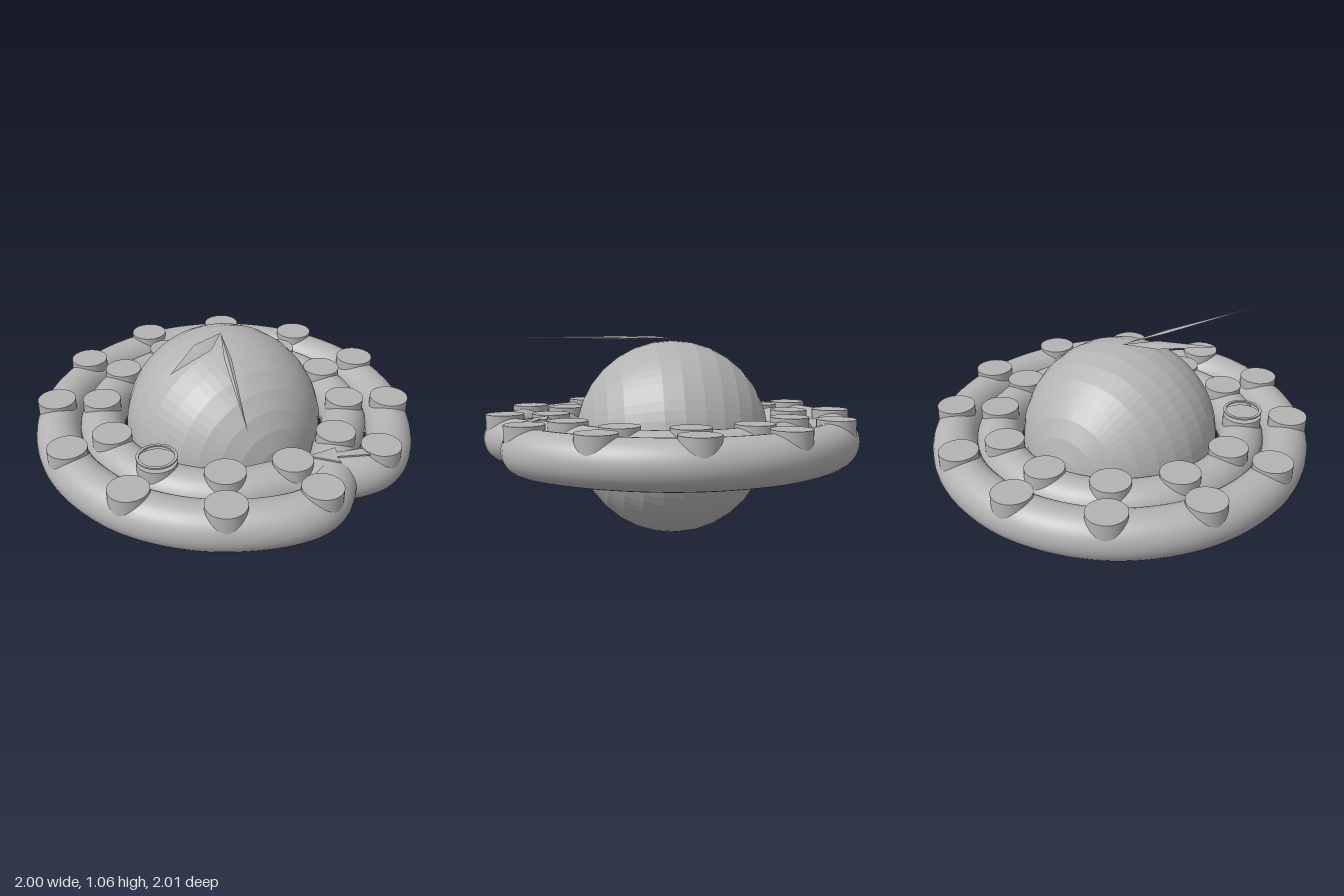
import * as THREE from 'three';

export function createModel() {
  const model = new THREE.Group();
  const grey = new THREE.MeshStandardMaterial({ color: 0xb3b3b3 });
  const greyFaceted = grey.clone();
  greyFaceted.flatShading = true;
  grey.name = 'grey';
  greyFaceted.name = 'greyFaceted';

  const add = (name, geometry, material = grey) => {
    const mesh = new THREE.Mesh(geometry, material);
    mesh.name = name;
    model.add(mesh);
    return mesh;
  };

  // Clock positions: hour 0 at the back, running clockwise seen from above
  const onDial = (hour, radius, y) => {
    const a = (hour * Math.PI) / 6;
    return new THREE.Vector3(Math.sin(a) * radius, y, -Math.cos(a) * radius);
  };

  // Faceted globe with its poles along z
  const globe = add('globe', new THREE.SphereGeometry(0.52, 64, 16).rotateX(Math.PI / 2), greyFaceted);
  globe.position.y = 0.522;

  // One closed tube, twice around, crossing itself between five and six
  const path = [];
  for (let i = 0; i < 24; i++) path.push(onDial(i + 6, i < 12 ? 0.88 : 0.65, 0.525));
  const curve = new THREE.CatmullRomCurve3(path, true, 'centripetal');
  add('doubleRing', new THREE.TubeGeometry(curve, 288, 0.12, 32, true));

  // Hour studs on both turns
  const stud = new THREE.CylinderGeometry(0.1, 0.1, 0.1, 40);
  for (let hour = 0; hour < 12; hour++) {
    add('outerStud', stud).position.copy(onDial(hour, 0.89, 0.61));
    add('innerStud', stud).position.copy(onDial(hour, 0.65, 0.61));
  }

  // Flat plate from an outline drawn in x and z
  const plate = (shape, y, depth) => {
    const g = new THREE.ExtrudeGeometry(shape, { depth, bevelEnabled: false, curveSegments: 32 });
    return g.rotateX(-Math.PI / 2).translate(0, y, 0);
  };

  // Arrow leading from the outer turn to the inner one
  const arrow = [[0.085, 0.66], [0.19, 0.78], [0.2, 0.735], [0.355, 0.805], [0.385, 0.755], [0.22, 0.705], [0.24, 0.67]];
  add('crossoverArrow', plate(new THREE.Shape(arrow.map(([x, z]) => new THREE.Vector2(x, -z))), 0.648, 0.008));

  // Marker hoop hovering over the inner eight
  const hoop = new THREE.Shape().absarc(0, 0, 0.1, 0, Math.PI * 2);
  hoop.holes.push(new THREE.Path().absarc(0, 0, 0.085, 0, Math.PI * 2, true));
  add('markerHoop', plate(hoop, 0.681, 0.008)).position.copy(onDial(8, 0.65, 0));

  // Ridged kite hands, built from a four-cornered middle section and two tips
  const hand = (name, tip, wideAt, halfWidth) => {
    const g = new THREE.OctahedronGeometry(1, 0);
    const p = g.attributes.position;
    for (let i = 0; i < p.count; i++) {
      const x = p.getX(i), y = p.getY(i), z = p.getZ(i);
      const along = z > 0.5 ? tip.length : z < -0.5 ? 0 : wideAt;
      p.setXYZ(i, x * halfWidth, 1.054 + y * 0.009 - Math.abs(z) * 0.002, along);
    }
    const mesh = add(name, g, greyFaceted);
    mesh.rotation.y = tip.angle;
    mesh.position.set(-0.015, 0, 0);
  };
  hand('hourHand', { length: 0.48, angle: -Math.PI / 3 }, 0.18, 0.05);
  hand('minuteHand', { length: 0.9, angle: -0.41 }, 0.28, 0.018);

  return model;
}
